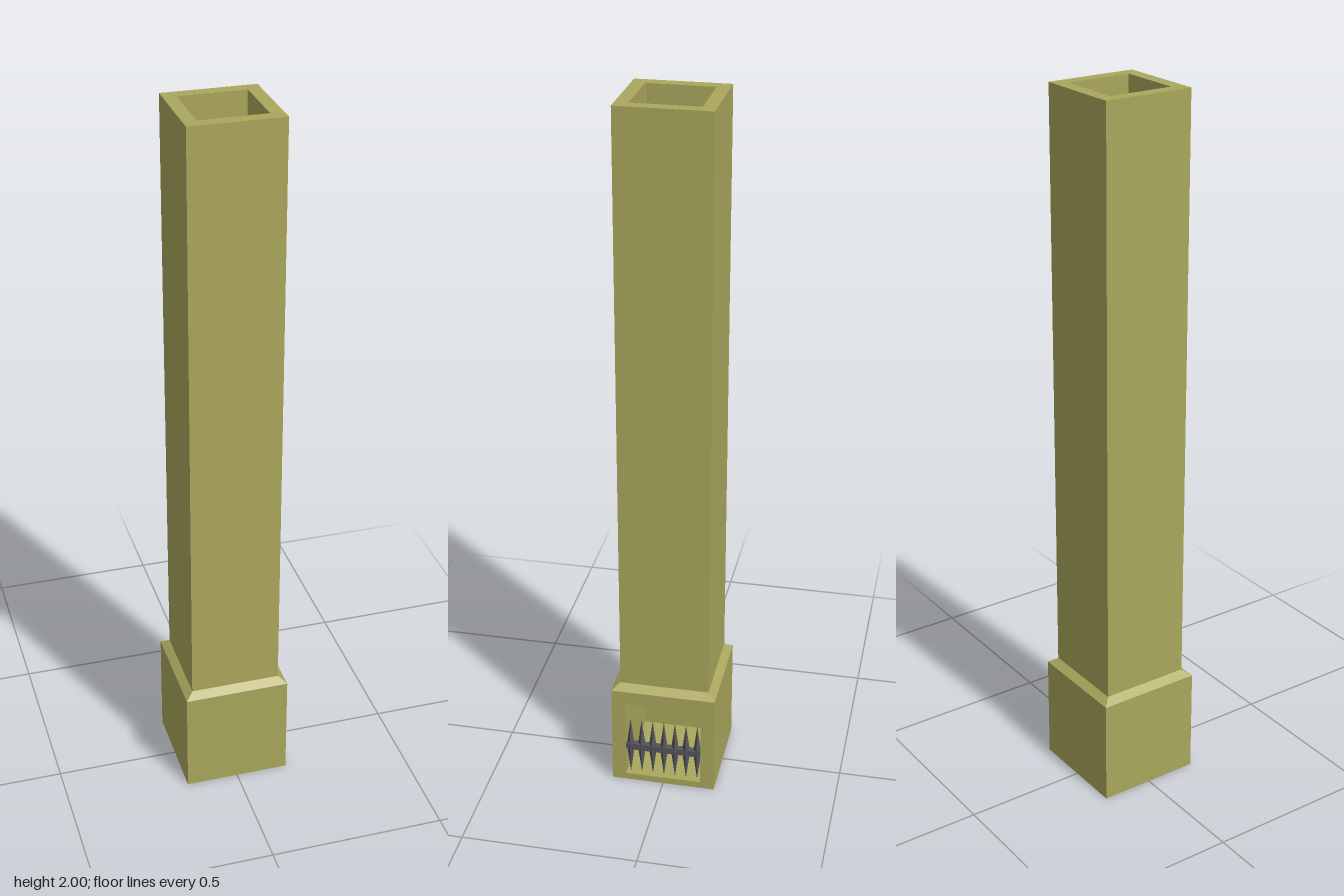
import * as THREE from 'three';

const olive = new THREE.MeshStandardMaterial({ color: 0xaaa75c, flatShading: true });
const steel = new THREE.MeshStandardMaterial({ color: 0x55555c, flatShading: true });

// Square path of half-size h with slightly rounded corners
function square(path, h, r = 0) {
  path.moveTo(-h + r, -h).lineTo(h - r, -h);
  if (r) path.quadraticCurveTo(h, -h, h, -h + r);
  path.lineTo(h, h - r);
  if (r) path.quadraticCurveTo(h, h, h - r, h);
  path.lineTo(-h + r, h);
  if (r) path.quadraticCurveTo(-h, h, -h, h - r);
  path.lineTo(-h, -h + r);
  if (r) path.quadraticCurveTo(-h, -h, -h + r, -h);
  return path;
}

// Extrude a plan shape upwards from y0 to y1
function upright(shape, y0, y1) {
  return new THREE.ExtrudeGeometry(shape, { depth: y1 - y0, bevelEnabled: false, curveSegments: 3 })
    .rotateX(-Math.PI / 2).translate(0, y0, 0);
}

function ring(outer, inner) {
  const shape = square(new THREE.Shape(), outer);
  shape.holes.push(square(new THREE.Path(), inner, 0.003));
  return shape;
}

export function createModel() {
  const model = new THREE.Group();
  const add = (name, geometry, material = olive, parent = model) => {
    const mesh = new THREE.Mesh(geometry, material);
    mesh.name = name;
    parent.add(mesh);
    return mesh;
  };

  // Tall hollow square chute
  add('chute', upright(ring(0.128, 0.092), 0.305, 2));

  // Outlet chamber: three walls with the opening on the left (+x) side
  const walls = new THREE.Shape([
    [-0.15, -0.15], [0.15, -0.15], [0.15, -0.11], [-0.11, -0.11],
    [-0.11, 0.11], [0.15, 0.11], [0.15, 0.15], [-0.15, 0.15],
  ].map(([x, y]) => new THREE.Vector2(x, y)));
  add('chamberWalls', upright(walls, 0, 0.265));
  add('chamberCeiling', upright(ring(0.15, 0.092), 0.265, 0.305));
  add('chamberFloor', new THREE.BoxGeometry(0.26, 0.02, 0.22).translate(0.02, 0.01, 0));

  // Sloped collar between chamber and chute
  const collar = new THREE.CylinderGeometry(0.128 * Math.SQRT2, 0.15 * Math.SQRT2, 0.017, 4, 1, true)
    .rotateY(Math.PI / 4).translate(0, 0.3135, 0);
  add('collar', collar);

  // Row of double-ended spikes on a crossbar inside the opening
  const grille = new THREE.Group();
  grille.name = 'spikeGrille';
  model.add(grille);
  add('crossbar', new THREE.BoxGeometry(0.018, 0.02, 0.22), steel, grille);
  for (let i = -3; i <= 3; i++) {
    const spike = add('spike', new THREE.OctahedronGeometry(1), steel, grille);
    spike.scale.set(0.012, 0.0925, 0.012);
    spike.position.z = i * 0.0327;
  }
  grille.position.set(0.135, 0.1125, 0);

  return model;
}
